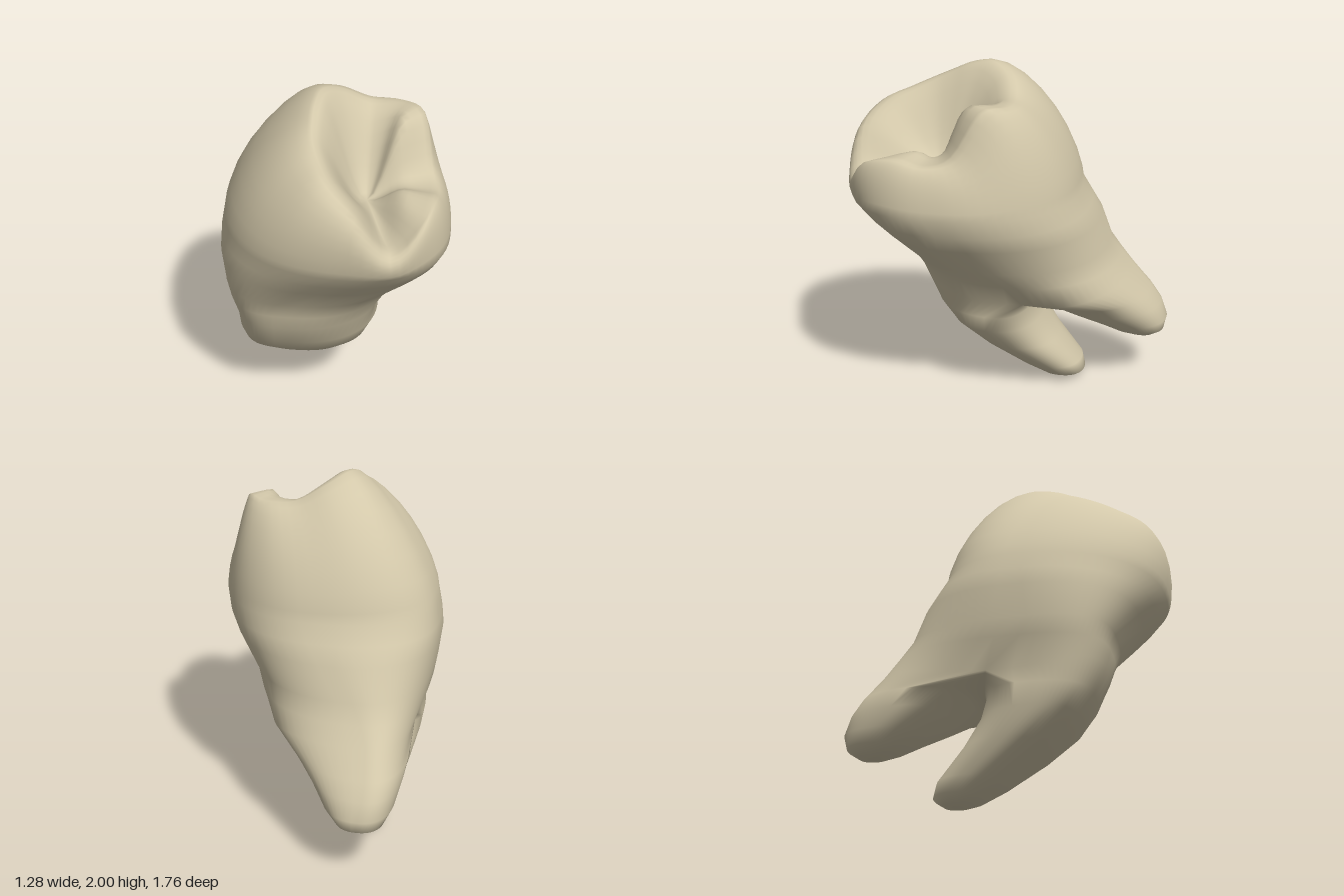
import * as THREE from 'three';
import { mergeVertices } from 'three/addons/utils/BufferGeometryUtils.js';

const N = 64; // points per loop; angle 0 = +x, 90 deg = front
const V = (x, y, z) => new THREE.Vector3(x, y, z);
const angle = (i) => (i / N) * Math.PI * 2;
const loop = (fn) => Array.from({ length: N }, (_, i) => fn(i));

// Horizontal section whose four extremes (left, right, back, front) can be offset;
// a smaller last value makes the corner between front and -x squarer
function section([y, x0, x1, z0, z1, lz = (z0 + z1) / 2, rz = lz, bx = (x0 + x1) / 2, fx = bx, corner = 0.87]) {
  return loop((i) => {
    const c = Math.cos(angle(i)), s = Math.sin(angle(i));
    const cx = s >= 0 ? fx : bx, cz = c >= 0 ? rz : lz;
    const e = s > 0 && c < 0 ? corner : 0.87;
    const u = Math.abs(c) ** e, v = Math.abs(s) ** e;
    return V(cx + ((c >= 0 ? x1 : x0) - cx) * u, y, cz + ((s >= 0 ? z1 : z0) - cz) * v);
  });
}

export function createModel() {
  const group = new THREE.Group();
  const enamel = new THREE.MeshStandardMaterial({ color: 0xd3c8aa });
  enamel.name = 'ivory';
  const pos = [];
  const tri = (...p) => p.forEach((q) => pos.push(q.x, q.y, q.z));

  // Skin a list of loops, lowest first
  const skin = (loops) => {
    for (let k = 0; k + 1 < loops.length; k++) {
      const A = loops[k], B = loops[k + 1];
      for (let i = 0; i < N; i++) {
        const j = (i + 1) % N;
        if (A[i].distanceTo(A[j]) > 1e-5) tri(A[j], A[i], B[i]);
        if (B[i].distanceTo(B[j]) > 1e-5) tri(A[j], B[i], B[j]);
      }
    }
  };

  // Trunk: from the fork of the roots to the widest part of the crown
  const trunk = [
    [0.72, -0.575, 0.3, -0.67, 0.55, -0.06, -0.1, -0.36, -0.22, 0.62],
    [0.82, -0.6, 0.35, -0.6, 0.575, 0.0, -0.02, -0.32, -0.2, 0.6],
    [0.92, -0.615, 0.41, -0.54, 0.6, 0.04, 0.1, -0.26, -0.16, 0.6],
    [1.1, -0.64, 0.55, -0.49, 0.72, 0.03, 0.23, -0.15, -0.02, 0.72],
    [1.2, -0.635, 0.61, -0.44, 0.79, 0.04, 0.29, -0.08, 0.07, 0.82],
    [1.3, -0.615, 0.64, -0.39, 0.855, 0.06, 0.35, -0.02, 0.14],
  ].map(section);

  // The fork edge sags and is grooved on both sides, where the roots part
  const fork = trunk[0];
  fork.forEach((p, i) => {
    const c = Math.cos(angle(i));
    p.y -= 0.06 * c ** 4;
    p.x -= (c > 0 ? 0.08 : -0.04) * c ** 12;
  });

  // Crest of the cusps: radius and height every 22.5 degrees about the pit
  const pit = V(0.19, 1.48, 0.37);
  const crestCurve = new THREE.CatmullRomCurve3([
    [0.38, 1.57], [0.4, 1.6], [0.46, 1.56], [0.44, 1.44],
    [0.45, 1.65], [0.4, 1.77], [0.33, 1.83], [0.3, 1.88],
    [0.29, 1.93], [0.31, 1.98], [0.36, 2.0], [0.4, 1.95],
    [0.42, 1.87], [0.45, 1.86], [0.42, 1.85], [0.38, 1.62],
  ].map(([r, y], k) => {
    const a = (k * Math.PI) / 8;
    return V(0.17 + r * Math.cos(a), y, 0.36 + r * Math.sin(a));
  }), true, 'catmullrom', 0.5);
  const crest = loop((i) => crestCurve.getPoint(i / N));

  // Crown wall: rounds over to the crest, fuller at the front and +x side
  const base = trunk[trunk.length - 1];
  const wall = [0.12, 0.25, 0.38, 0.5, 0.62, 0.74, 0.86, 1].map((t) => loop((i) => {
    const power = 1.38 - 0.4 * Math.max(0, Math.sin(angle(i) + Math.PI / 3));
    const h = t * Math.PI / 2;
    const out = 1 - Math.max(0, Math.cos(h)) ** power, up = Math.sin(h) ** power;
    const bulge = 0.04 * Math.max(0, Math.sin(angle(i))) * Math.sin(Math.PI * t);
    const b = base[i], c = crest[i];
    return V(b.x + (c.x - b.x) * out, b.y + (c.y - b.y) * up, b.z + (c.z - b.z) * out + bulge);
  }));

  // Chewing surface: cusps sink into the central pit, broader ones on the +x side
  const bowl = [0.92, 0.84, 0.75, 0.65, 0.55, 0.45, 0.35, 0.25, 0.12, 0].map((s) => loop((i) => {
    const p = pit.clone().lerp(crest[i], s);
    const edge = 0.92 - 0.35 * Math.max(0, Math.cos(angle(i)));
    p.y = THREE.MathUtils.lerp(pit.y, crest[i].y, THREE.MathUtils.smoothstep(s, 0.03, edge));
    return p;
  }));
  skin([...trunk, ...wall, ...bowl]);

  // Saddle between the roots splits the lowest trunk loop in two
  const H = N / 2;
  const saddle = (s) => {
    const p = fork[H].clone().lerp(fork[0], s);
    p.y -= 0.04 * Math.sin(Math.PI * s);
    p.z -= 0.06 * Math.sin(Math.PI * s);
    return p;
  };
  const tip = (x, y, z) => loop(() => V(x, y, z));

  // Front root
  skin([
    tip(-0.27, 0.003, -0.28),
    ...[
      [0.015, -0.34, -0.19, -0.35, -0.2],
      [0.05, -0.4, -0.11, -0.4, -0.13],
      [0.13, -0.43, -0.04, -0.385, 0.0],
      [0.3, -0.49, 0.08, -0.25, 0.22, 0.0, 0.0, -0.2, -0.23, 0.75],
      [0.45, -0.53, 0.18, -0.155, 0.39, 0.12, 0.09, -0.18, -0.24, 0.66],
      [0.57, -0.55, 0.24, -0.12, 0.48, 0.1, 0.06, -0.13, -0.24, 0.63],
    ].map(section),
    loop((i) => (i <= H ? fork[i] : saddle((i - H) / H))),
  ]);

  // Back root
  skin([
    tip(-0.35, 0.28, -0.73),
    ...[
      [0.293, -0.42, -0.27, -0.81, -0.65],
      [0.33, -0.48, -0.21, -0.865, -0.55, -0.72, -0.7],
      [0.4, -0.52, -0.13, -0.88, -0.44, -0.64, -0.62, -0.36, -0.33],
      [0.5, -0.545, -0.02, -0.84, -0.31, -0.53, -0.45, -0.38, -0.27],
      [0.59, -0.56, 0.09, -0.775, -0.2, -0.44, -0.35, -0.38, -0.23],
    ].map(section),
    loop((i) => (i >= H || i === 0 ? fork[i] : saddle(1 - i / H))),
  ]);

  let geometry = new THREE.BufferGeometry();
  geometry.setAttribute('position', new THREE.Float32BufferAttribute(pos, 3));
  geometry = mergeVertices(geometry, 1e-4);
  geometry.computeVertexNormals();
  const tooth = new THREE.Mesh(geometry, enamel);
  tooth.name = 'molarTooth';
  group.add(tooth);
  return group;
}
